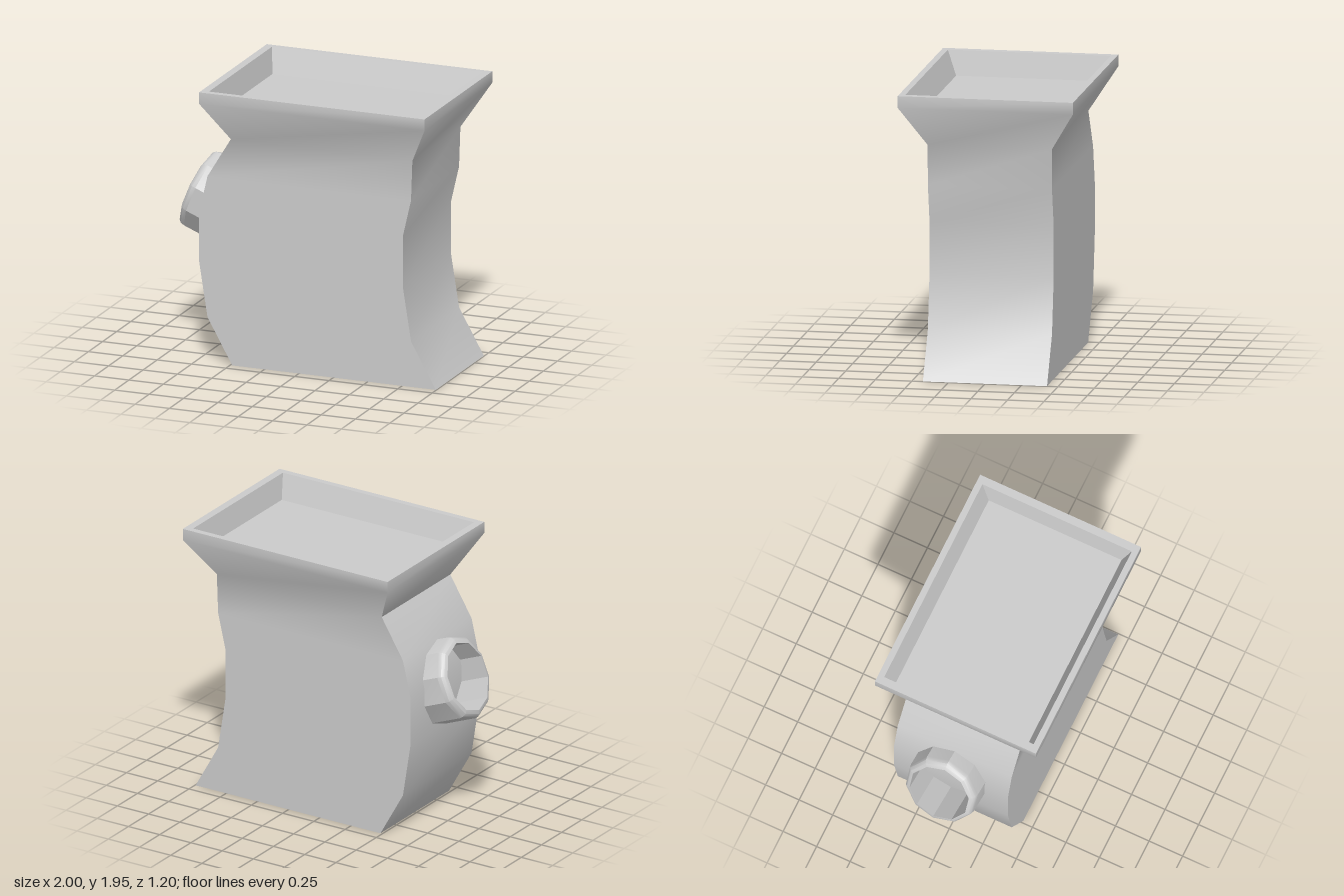
import * as THREE from 'three';
import { toCreasedNormals } from 'three/addons/utils/BufferGeometryUtils.js';

const rad = THREE.MathUtils.degToRad;

// Skin a stack of rectangular sections [y, xMin, xMax, halfDepth], closed at both ends
function loftRectangles(sections) {
  const positions = [];
  const index = [];
  for (const [y, x0, x1, h] of sections) {
    positions.push(x0, y, h, x1, y, h, x1, y, -h, x0, y, -h);
  }
  const quad = (a, b, c, d) => index.push(a, b, c, a, c, d);
  for (let s = 0; s < sections.length - 1; s++) {
    for (let i = 0; i < 4; i++) {
      const a = s * 4 + i;
      const b = s * 4 + (i + 1) % 4;
      quad(a, b, b + 4, a + 4);
    }
  }
  const last = (sections.length - 1) * 4;
  quad(3, 2, 1, 0);
  quad(last, last + 1, last + 2, last + 3);
  const geometry = new THREE.BufferGeometry();
  geometry.setAttribute('position', new THREE.Float32BufferAttribute(positions, 3));
  geometry.setIndex(index);
  return geometry;
}

export function createModel() {
  const model = new THREE.Group();
  model.name = 'trayTopVessel';
  const material = new THREE.MeshStandardMaterial({ color: 0xcccccc });

  // Curved body flaring into a rim, then down into the recessed tray
  const bodyGeometry = loftRectangles([
    [0, -0.485, 0.995, 0.425],
    [0.32, -0.665, 0.815, 0.425],
    [0.7, -0.725, 0.755, 0.425],
    [1.05, -0.725, 0.755, 0.425],
    [1.31, -0.665, 0.815, 0.425],
    [1.59, -0.495, 0.825, 0.425],
    [1.87, -0.655, 0.985, 0.6],
    [1.95, -0.655, 0.985, 0.6],
    [1.95, -0.6, 0.93, 0.557],
    [1.78, -0.57, 0.9, 0.495],
  ]);
  const body = new THREE.Mesh(toCreasedNormals(bodyGeometry, rad(50)), material);
  body.name = 'body';
  model.add(body);

  // Ten-sided hollow spout with a rounded lip, sunk into the side of the body
  const profile = [
    [0.292, 0.75], [0.292, 1.2], [0.285, 1.228], [0.268, 1.246], [0.2425, 1.254], [0.2425, 0.75],
  ].map(([r, y]) => new THREE.Vector2(r, y));
  const spoutGeometry = new THREE.LatheGeometry(profile, 10);
  spoutGeometry.rotateY(Math.PI / 2);
  spoutGeometry.scale(1, 1, 0.9);
  const spout = new THREE.Mesh(toCreasedNormals(spoutGeometry, rad(33)), material);
  spout.name = 'spout';
  spout.rotation.z = rad(68);
  spout.position.set(0.253, 0.625, 0);
  model.add(spout);

  return model;
}
